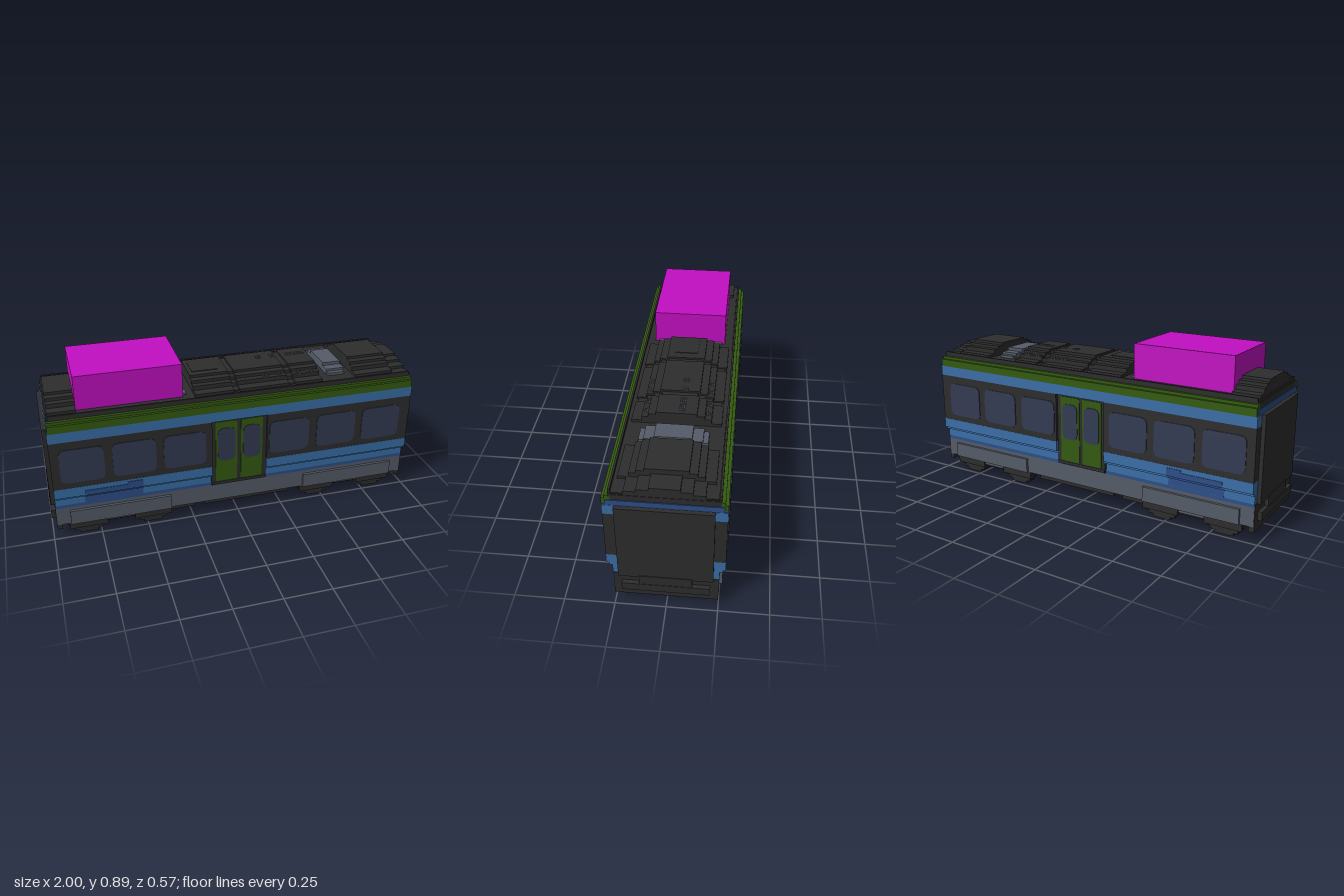
import * as THREE from 'three';

const mat = (name, color) => {
  const m = new THREE.MeshStandardMaterial({ color });
  m.name = name;
  return m;
};

export function createModel() {
  const car = new THREE.Group();
  car.name = 'railCar';
  const dark = mat('charcoal', 0x2d2d2d);
  const blue = mat('blue', 0x3a6ea6);
  const navy = mat('darkBlue', 0x2d4f88);
  const green = mat('green', 0x345a10);
  const grey = mat('slateGrey', 0x555c68);
  const glass = mat('windowGlass', 0x343b52);
  const magenta = mat('magenta', 0xc20fc2);

  // box given by its limits
  const box = (name, m, x0, x1, y0, y1, z0, z1) => {
    const mesh = new THREE.Mesh(new THREE.BoxGeometry(x1 - x0, y1 - y0, z1 - z0), m);
    mesh.position.set((x0 + x1) / 2, (y0 + y1) / 2, (z0 + z1) / 2);
    mesh.name = name;
    car.add(mesh);
    return mesh;
  };
  // box spanning the full width, symmetric in z
  const span = (name, m, x0, x1, y0, y1, hz) => box(name, m, x0, x1, y0, y1, -hz, hz);

  // thin pane with cut corners on one side of the car
  const pane = (name, m, cx, cy, w, h, r, z, side) => {
    const a = w / 2, b = h / 2;
    const s = new THREE.Shape();
    s.moveTo(-a + r, -b);
    s.lineTo(a - r, -b);
    s.quadraticCurveTo(a, -b, a, -b + r);
    s.lineTo(a, b - r);
    s.quadraticCurveTo(a, b, a - r, b);
    s.lineTo(-a + r, b);
    s.quadraticCurveTo(-a, b, -a, b - r);
    s.lineTo(-a, -b + r);
    s.quadraticCurveTo(-a, -b, -a + r, -b);
    const g = new THREE.ExtrudeGeometry(s, { depth: 0.004, bevelEnabled: false, curveSegments: 4 });
    const mesh = new THREE.Mesh(g, m);
    mesh.position.set(cx, cy, side > 0 ? z : -z - 0.004);
    mesh.name = name;
    car.add(mesh);
  };

  // body core and underframe
  span('bodyCore', dark, -0.97, 0.97, 0.085, 0.7, 0.248);
  span('doorFrame', dark, -0.152, 0.152, 0.212, 0.59, 0.264);
  span('doorSill', dark, -0.15, 0.15, 0.195, 0.212, 0.267);
  [[-0.92, -0.24], [-0.185, 0.3], [0.36, 0.92]].forEach(([a, b]) =>
    span('underfloorPanel', dark, a, b, 0.06, 0.09, 0.235));

  // side walls, in two lengths either side of the doors
  [[-0.975, -0.15], [0.15, 0.975]].forEach(([a, b]) => {
    span('windowBand', dark, a, b, 0.32, 0.586, 0.279);
    span('lowerPanelTop', blue, a, b, 0.265, 0.32, 0.28);
    span('lowerPanelStep', blue, a, b, 0.25, 0.265, 0.266);
    span('lowerPanel', blue, a, b, 0.205, 0.25, 0.252);
    span('lowerStripe', navy, a, b, 0.187, 0.205, 0.251);
  });
  span('upperBand', blue, -0.975, 0.975, 0.586, 0.64, 0.28);
  span('endTopStripe', navy, -0.974, 0.974, 0.638, 0.67, 0.264);

  // green eaves, stepping inwards
  [1, -1].forEach(s => {
    [[0.64, 0.68, 0.28], [0.68, 0.695, 0.266]].forEach(([y0, y1, z]) =>
      box('greenEave', green, -0.97, 0.97, y0, y1, Math.min(s * 0.24, s * z), Math.max(s * 0.24, s * z)));
    box('roofRail', dark, -0.96, 0.96, 0.69, 0.72, Math.min(s * 0.24, s * 0.25), Math.max(s * 0.24, s * 0.25));
  });

  // painted dark patch near one end, following the wall steps
  span('paintPatch', navy, -0.82, -0.52, 0.265, 0.294, 0.283);
  span('paintPatch', navy, -0.6, -0.52, 0.294, 0.308, 0.283);
  span('paintPatch', navy, -0.82, -0.52, 0.25, 0.265, 0.269);
  span('paintPatch', navy, -0.82, -0.52, 0.207, 0.25, 0.255);

  // windows, doors and door glass on both sides
  [1, -1].forEach(side => {
    [-0.82, -0.557, -0.295, 0.273, 0.54, 0.803].forEach(x =>
      pane('window', glass, x, 0.447, 0.222, 0.19, 0.035, 0.279, side));
    [-0.07, 0.068].forEach(x => {
      pane('doorLeaf', green, x, 0.396, 0.118, 0.36, 0.006, 0.264, side);
      pane('doorGlass', glass, x, 0.44, 0.094, 0.195, 0.035, 0.268, side);
    });
  });

  // skirts with raised bogie covers
  span('skirt', grey, -0.975, 0.975, 0.087, 0.187, 0.2505);
  [-1, 1].forEach(s => {
    const x0 = s < 0 ? -0.905 : 0.375;
    span('bogieCover', grey, x0, x0 + 0.53, 0.088, 0.168, 0.265);
    span('springPlate', grey, s * 0.645 - 0.07, s * 0.645 + 0.07, 0.065, 0.09, 0.238);
    span('bogieFrame', dark, s * 0.645 - 0.2, s * 0.645 + 0.2, 0.05, 0.088, 0.225);
  });

  // stepped wheels
  [-0.815, -0.47, 0.465, 0.81].forEach(x => [1, -1].forEach(s =>
    [[0, 0.015, 0.05], [0.015, 0.03, 0.073], [0.03, 0.055, 0.088], [0.055, 0.09, 0.1]].forEach(
      ([y0, y1, h]) => {
        const z = s * 0.202;
        box('wheel', dark, x - h, x + h, y0, y1, z - 0.021, z + 0.021);
        if (y0 > 0.04) box('axleBox', dark, x - h, x + h, 0.045, y1, s * 0.225 - 0.02, s * 0.225 + 0.02);
      })));

  // end gangways and lower end panels
  [1, -1].forEach(s => {
    const end = (name, y0, y1, hz, x) =>
      span(name, dark, Math.min(s * 0.95, s * x), Math.max(s * 0.95, s * x), y0, y1, hz);
    end('gangway', 0.2, 0.64, 0.224, 0.995);
    end('endPanel', 0.058, 0.2, 0.248, 0.978);
    end('couplerPanel', 0.11, 0.155, 0.21, 1);
    end('couplerStep', 0.155, 0.21, 0.125, 0.998);
  });

  // arched roof sections built from stepped layers
  const fullArch = [[0.24, 0.706], [0.22, 0.725], [0.17, 0.748], [0.138, 0.764], [0.1, 0.778]];
  const lowArch = [[0.24, 0.706], [0.18, 0.725], [0.125, 0.738], [0.07, 0.751]];
  const ribArch = [[0.24, 0.706], [0.21, 0.718], [0.165, 0.738], [0.13, 0.755], [0.09, 0.768]];
  const roof = (x0, x1, arch) => arch.forEach(([hz, y]) => span('roofLayer', dark, x0, x1, 0.69, y, hz));
  span('roofDeck', dark, -0.965, 0.965, 0.68, 0.71, 0.238);
  roof(-0.96, -0.82, fullArch);
  roof(-0.22, -0.015, fullArch);
  roof(-0.015, 0.015, ribArch);
  roof(0.015, 0.285, fullArch);
  roof(0.285, 0.32, ribArch);
  roof(0.32, 0.47, fullArch);
  roof(0.66, 0.875, fullArch);
  roof(0.875, 0.968, lowArch);
  span('roofHatch', dark, -0.2, -0.06, 0.77, 0.781, 0.06);

  // grey roof vent
  [[0.165, 0.725, 0.53], [0.14, 0.738, 0.524], [0.09, 0.755, 0.524]].forEach(([hz, y, x]) =>
    span('roofVent', grey, x, 1.148 - x, 0.7, y, hz));

  // small roof fittings
  const stud = (x, y, z) => [-0.009, 0.009].forEach(dx => [-0.009, 0.009].forEach(dz =>
    box('roofStud', grey, x + dx - 0.005, x + dx + 0.005, y - 0.01, y + 0.004, z + dz - 0.005, z + dz + 0.005)));
  [0.175, 0.245, 0.35, 0.42].forEach(x => [-0.155, 0.155].forEach(z => stud(x, 0.75, z)));
  [0.19, 0.27, 0.36, 0.4, 0.435].forEach(x => stud(x, 0.779, -0.025));
  [-0.155, 0.155].forEach(z => box('roofClip', grey, -0.285, -0.258, 0.7, 0.72, z - 0.02, z + 0.02));

  // rooftop crate
  span('rooftopBox', magenta, -0.82, -0.28, 0.71, 0.89, 0.195);

  return car;
}
